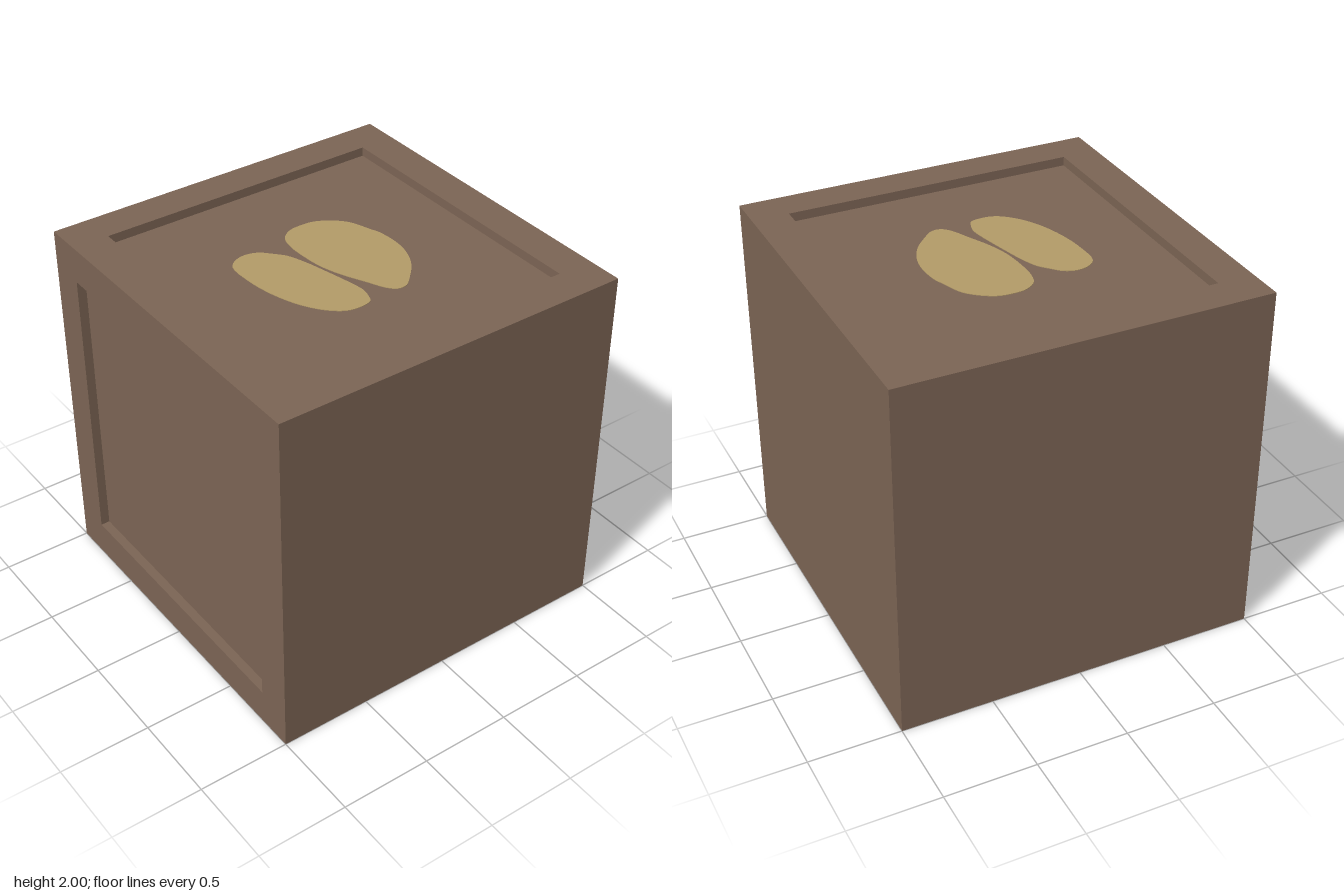
import * as THREE from 'three';

const SIZE = 2, HALF = 1, INNER = 0.8, DEPTH = 0.05;

function mesh(name, geometry, material) {
  const m = new THREE.Mesh(geometry, material);
  m.name = name;
  return m;
}

function squarePath(path, h) {
  path.moveTo(-h, -h).lineTo(h, -h).lineTo(h, h).lineTo(-h, h).closePath();
  return path;
}

// Square face (facing +z) with a sunken panel in the middle
function recessedSide(name, material) {
  const side = new THREE.Group();
  side.name = name;
  const border = squarePath(new THREE.Shape(), HALF);
  border.holes.push(squarePath(new THREE.Path(), INNER));
  side.add(mesh('border', new THREE.ShapeGeometry(border), material));

  const floor = mesh('sunkenPanel', new THREE.PlaneGeometry(2 * INNER, 2 * INNER), material);
  floor.position.z = -DEPTH;
  side.add(floor);

  for (let i = 0; i < 4; i++) {
    const wall = new THREE.PlaneGeometry(2 * INNER, DEPTH)
      .rotateX(-Math.PI / 2)
      .translate(0, -INNER, -DEPTH / 2)
      .rotateZ(i * Math.PI / 2);
    side.add(mesh('recessWall', wall, material));
  }
  return side;
}

// Thin plate with a smooth closed outline given as [x, z] points
function beanHalf(name, points, material) {
  const curve = new THREE.CatmullRomCurve3(
    points.map(([x, z]) => new THREE.Vector3(x, -z, 0)), true);
  const shape = new THREE.Shape(curve.getPoints(80).map(p => new THREE.Vector2(p.x, p.y)));
  const plate = new THREE.ExtrudeGeometry(shape, { depth: 0.003, bevelEnabled: false });
  const m = mesh(name, plate, material);
  m.position.z = -DEPTH;
  return m;
}

export function createModel() {
  const model = new THREE.Group();
  model.name = 'crate';
  const brown = new THREE.MeshStandardMaterial({ color: 0x7b6454 });
  brown.name = 'brown';
  const tan = new THREE.MeshStandardMaterial({ color: 0xb39b68 });
  tan.name = 'tan';

  // Recessed front and top
  const front = recessedSide('front', brown);
  front.position.set(0, HALF, HALF);
  const top = recessedSide('top', brown);
  top.rotation.x = -Math.PI / 2;
  top.position.y = SIZE;
  model.add(front, top);

  // Plain sides
  const plain = [
    ['leftSide', 0, Math.PI / 2, [HALF, HALF, 0]],
    ['rightSide', 0, -Math.PI / 2, [-HALF, HALF, 0]],
    ['back', 0, Math.PI, [0, HALF, -HALF]],
    ['bottom', Math.PI / 2, 0, [0, 0, 0]],
  ];
  for (const [name, rx, ry, position] of plain) {
    const face = mesh(name, new THREE.PlaneGeometry(SIZE, SIZE), brown);
    face.rotation.set(rx, ry, 0);
    face.position.set(...position);
    model.add(face);
  }

  // Painted bean on the top panel, split by its groove
  top.add(beanHalf('beanBackHalf', [
    [-0.385, -0.08], [-0.375, -0.17], [-0.325, -0.255], [-0.26, -0.315], [-0.14, -0.36],
    [-0.1, -0.376], [0.03, -0.388], [0.14, -0.37], [0.245, -0.32], [0.33, -0.245],
    [0.385, -0.18], [0.385, -0.13], [0.345, -0.088], [0.245, -0.04], [0.14, 0.01],
    [0.06, 0.04], [-0.02, 0.06], [-0.13, 0.071], [-0.25, 0.07], [-0.33, 0.045], [-0.375, -0.015],
  ], tan));
  top.add(beanHalf('beanFrontHalf', [
    [-0.31, 0.3], [-0.29, 0.235], [-0.235, 0.18], [-0.18, 0.135], [-0.075, 0.095],
    [0.03, 0.068], [0.14, 0.042], [0.235, 0.022], [0.3, 0.015], [0.355, 0.028],
    [0.395, 0.048], [0.408, 0.135], [0.39, 0.2], [0.325, 0.275], [0.235, 0.335],
    [0.14, 0.375], [0.03, 0.405], [-0.1, 0.422], [-0.25, 0.415], [-0.297, 0.365],
  ], tan));

  return model;
}
